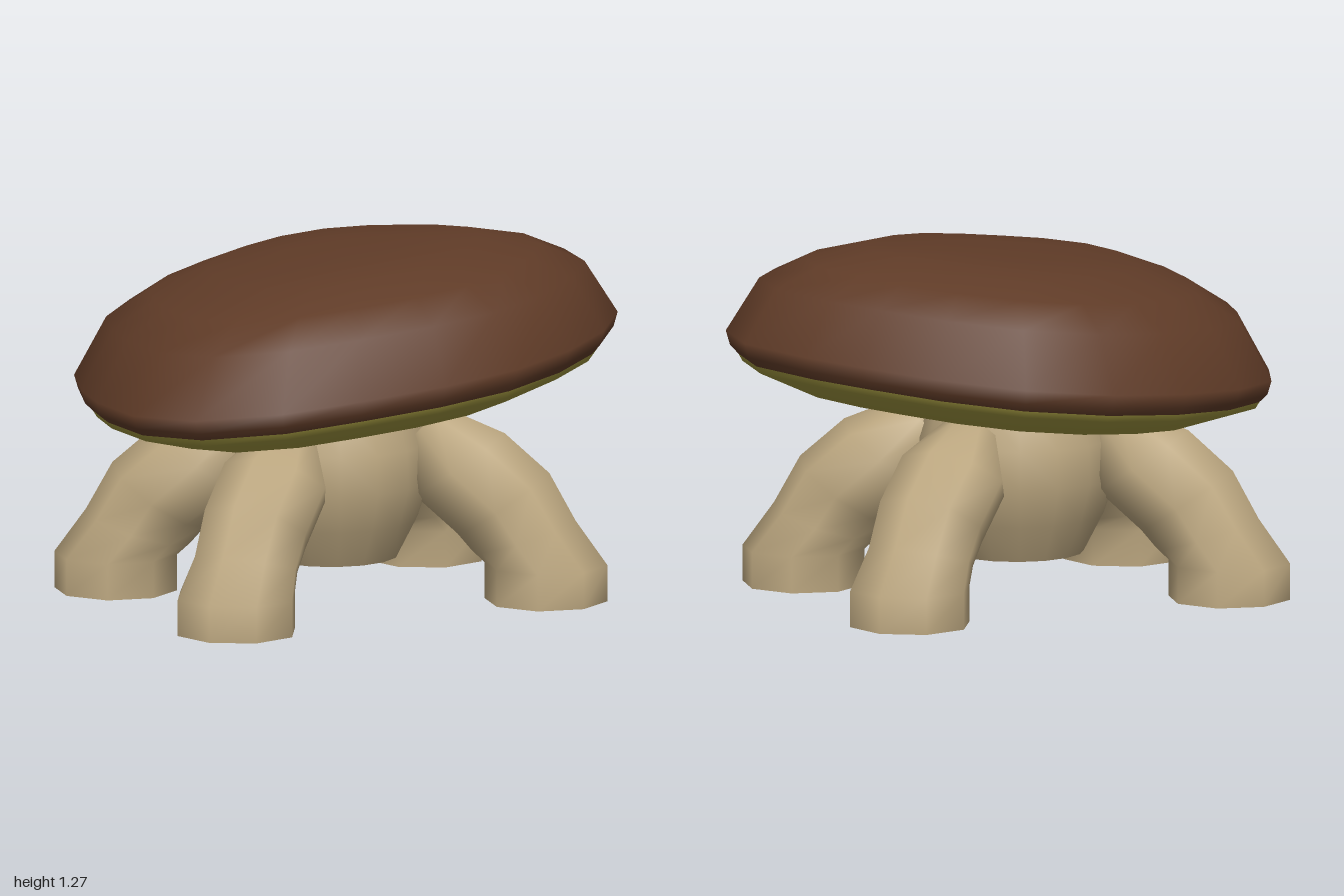
import * as THREE from 'three';

const material = (name, color, side = THREE.FrontSide) => {
  const m = new THREE.MeshStandardMaterial({ color, side });
  m.name = name;
  return m;
};

// Skin a list of closed rings (ordered bottom to top) into a smooth surface
function loft(rings) {
  const n = rings[0].length, index = [];
  for (let i = 0; i < rings.length - 1; i++) {
    for (let j = 0; j < n; j++) {
      const k = (j + 1) % n;
      const a = i * n + j, b = i * n + k, c = a + n, d = b + n;
      index.push(a, c, b, b, c, d);
    }
  }
  const g = new THREE.BufferGeometry();
  g.setAttribute('position', new THREE.Float32BufferAttribute(rings.flat(2), 3));
  g.setIndex(index);
  g.computeVertexNormals();
  return g;
}

export function createModel() {
  const model = new THREE.Group();
  model.name = 'walkingMushroom';
  const brown = material('capBrown', 0x5f3b27);
  const olive = material('gillOlive', 0xa0963f);
  const tan = material('stemTan', 0xbca780, THREE.DoubleSide);

  const add = (parent, name, geometry, mat) => {
    const mesh = new THREE.Mesh(geometry, mat);
    mesh.name = name;
    parent.add(mesh);
  };

  // Irregular cap outline (x, z), walked from +x towards +z
  const outline = [
    [1, 0.03], [0.95, 0.3], [0.77, 0.53], [0.54, 0.7], [0.27, 0.81],
    [-0.03, 0.83], [-0.34, 0.79], [-0.63, 0.73], [-0.89, 0.56], [-1, 0.3],
    [-0.985, 0], [-0.93, -0.22], [-0.83, -0.46], [-0.62, -0.65], [-0.35, -0.78],
    [-0.04, -0.84], [0.28, -0.79], [0.54, -0.62], [0.74, -0.4], [0.88, -0.22],
  ];
  // One cap ring: outline scaled by s, raised by h above the tilted rim plane
  const capRing = ([s, h]) => outline.map(([x, z]) =>
    [x * s, 0.87 + h + 0.1 * x * s + 0.02 * z * s, z * s]);

  add(model, 'capTop', loft([
    [0.95, -0.085], [0.985, -0.05], [1, 0], [0.88, 0.2], [0.72, 0.285],
    [0.5, 0.35], [0.25, 0.365], [0, 0.367],
  ].map(capRing)), brown);
  add(model, 'capUnderside', loft([
    [0, -0.11], [0.25, -0.12], [0.45, -0.155], [0.72, -0.185], [0.94, -0.105], [0.955, -0.08],
  ].map(capRing)), olive);

  // Bulging stem, open at its lower end
  const cx = -0.065, cz = 0.04;
  const stem = new THREE.LatheGeometry([
    [0.24, 0.145], [0.31, 0.28], [0.355, 0.42], [0.35, 0.56], [0.3, 0.69], [0.25, 0.79],
  ].map(p => new THREE.Vector2(...p)), 16);
  stem.translate(cx, 0, cz);
  add(model, 'stem', stem, tan);

  // Leg sections from sole to hip: distance from stem, height, radius, tilt
  const sections = [
    [0.77, 0, 0.22, 0], [0.77, 0.13, 0.22, 0], [0.69, 0.23, 0.195, 0.3],
    [0.617, 0.345, 0.2, 0.6], [0.457, 0.485, 0.2, 0.6], [0.33, 0.62, 0.1, 0.75],
    [0.33, 0.62, 0, 0.75],
  ];
  for (const sx of [1, -1]) {
    for (const sz of [1, -1]) {
      const ux = 0.81 * sx, uz = 0.585 * sz;
      const legRing = ([d, y, r, tilt]) => Array.from({ length: 8 }, (_, i) => {
        const t = i * Math.PI / 4;
        const out = d + r * Math.cos(t) * Math.cos(tilt), across = r * Math.sin(t);
        return [
          cx + ux * out - uz * across,
          y + r * Math.cos(t) * Math.sin(tilt),
          cz + uz * out + ux * across,
        ];
      });
      const leg = new THREE.Group();
      leg.name = (sz > 0 ? 'front' : 'back') + (sx > 0 ? 'Left' : 'Right') + 'Leg';
      add(leg, 'legBody', loft(sections.map(legRing)), tan);
      add(leg, 'sole', loft([[0.77, 0, 0, 0], sections[0]].map(legRing)), tan);
      model.add(leg);
    }
  }
  return model;
}
